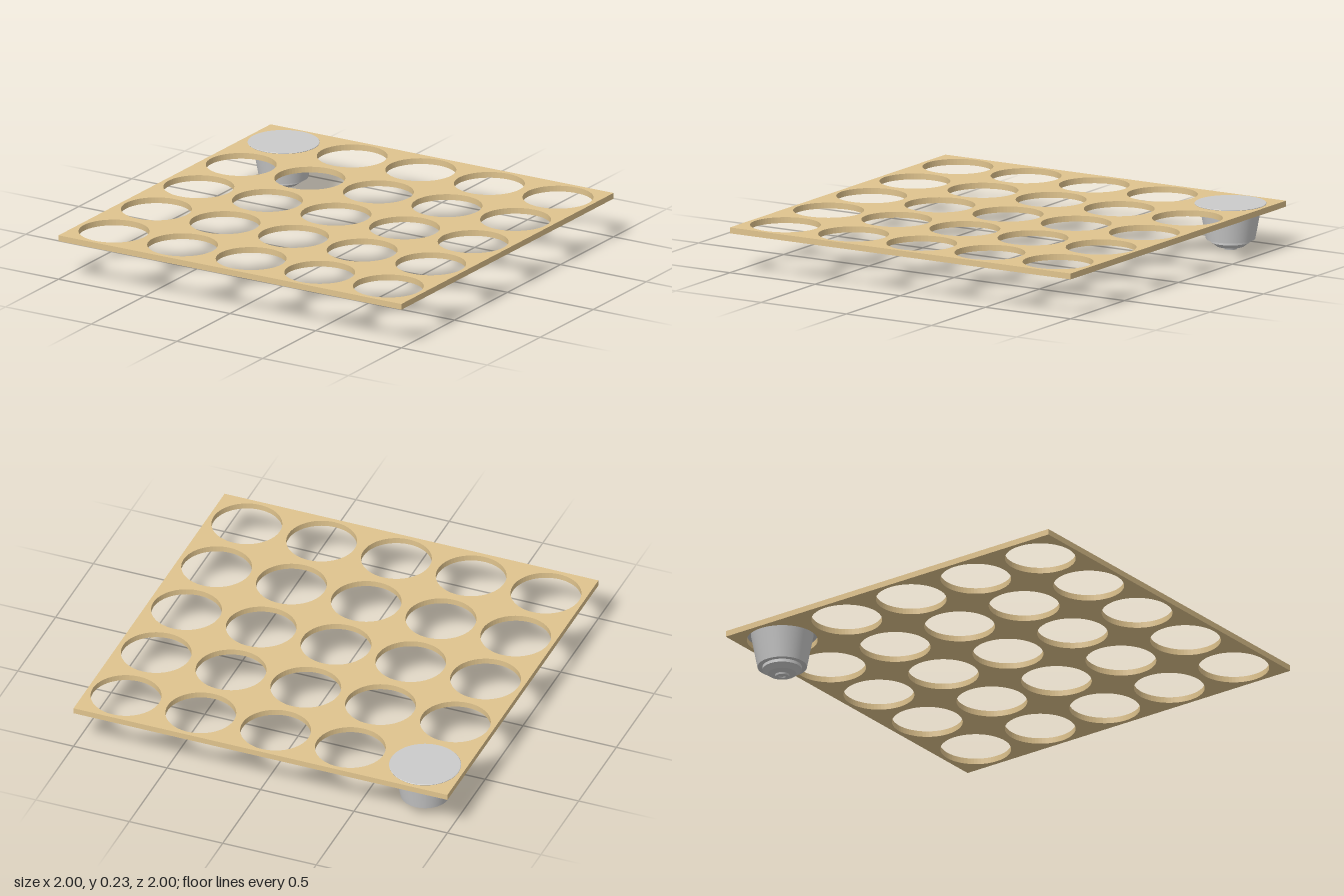
import * as THREE from 'three';

const PITCH = 0.4, HOLE_R = 0.176, PANEL_Y = 0.2, PANEL_T = 0.03;

// Square board pierced by a 5 x 5 grid of round holes
function makePanel(material) {
  const shape = new THREE.Shape();
  shape.moveTo(-1, -1).lineTo(1, -1).lineTo(1, 1).lineTo(-1, 1).closePath();
  for (let i = -2; i <= 2; i++) {
    for (let j = -2; j <= 2; j++) {
      const hole = new THREE.Path();
      hole.absarc(i * PITCH, j * PITCH, HOLE_R, 0, Math.PI * 2, true);
      shape.holes.push(hole);
    }
  }
  const geo = new THREE.ExtrudeGeometry(shape, { depth: PANEL_T, bevelEnabled: false, curveSegments: 32 });
  geo.rotateX(-Math.PI / 2);
  const panel = new THREE.Mesh(geo, material);
  panel.name = 'panel';
  panel.position.y = PANEL_Y;
  return panel;
}

// Lathe with hard edges between profile points: one smooth band per segment
function turned(name, profile, material) {
  const part = new THREE.Group();
  part.name = name;
  for (let i = 0; i < profile.length - 1; i++) {
    const pts = [profile[i], profile[i + 1]].map(([r, y]) => new THREE.Vector2(r, y));
    const band = new THREE.Mesh(new THREE.LatheGeometry(pts, 48), material);
    band.name = name + 'Band';
    part.add(band);
  }
  return part;
}

export function createModel() {
  const model = new THREE.Group();
  model.name = 'capsuleHolder';
  const wood = new THREE.MeshStandardMaterial({ color: 0xe0c48e });
  const grey = new THREE.MeshStandardMaterial({ color: 0xcccccc, side: THREE.DoubleSide });

  model.add(makePanel(wood));

  // One capsule hangs by its rim in the back right hole
  const capsule = new THREE.Group();
  capsule.name = 'capsule';
  capsule.position.set(-2 * PITCH, 0, -2 * PITCH);

  // Tapered cup
  capsule.add(turned('cup', [[0.098, 0.053], [0.123, 0.053], [0.156, 0.228]], grey));
  // Stepped nose: collar, shoulder, cone and small tip
  capsule.add(turned('nose', [
    [0.098, 0.053], [0.098, 0.037], [0.088, 0.03], [0.07, 0.016],
    [0.036, 0.009], [0.033, 0], [0.018, 0], [0.015, 0.006], [0, 0.006],
  ], grey));
  // Flat lid with a thin rim
  capsule.add(turned('lid', [[0.154, 0.229], [0.178, 0.229], [0.179, 0.232], [0.177, 0.234], [0, 0.234]], grey));

  model.add(capsule);
  return model;
}
